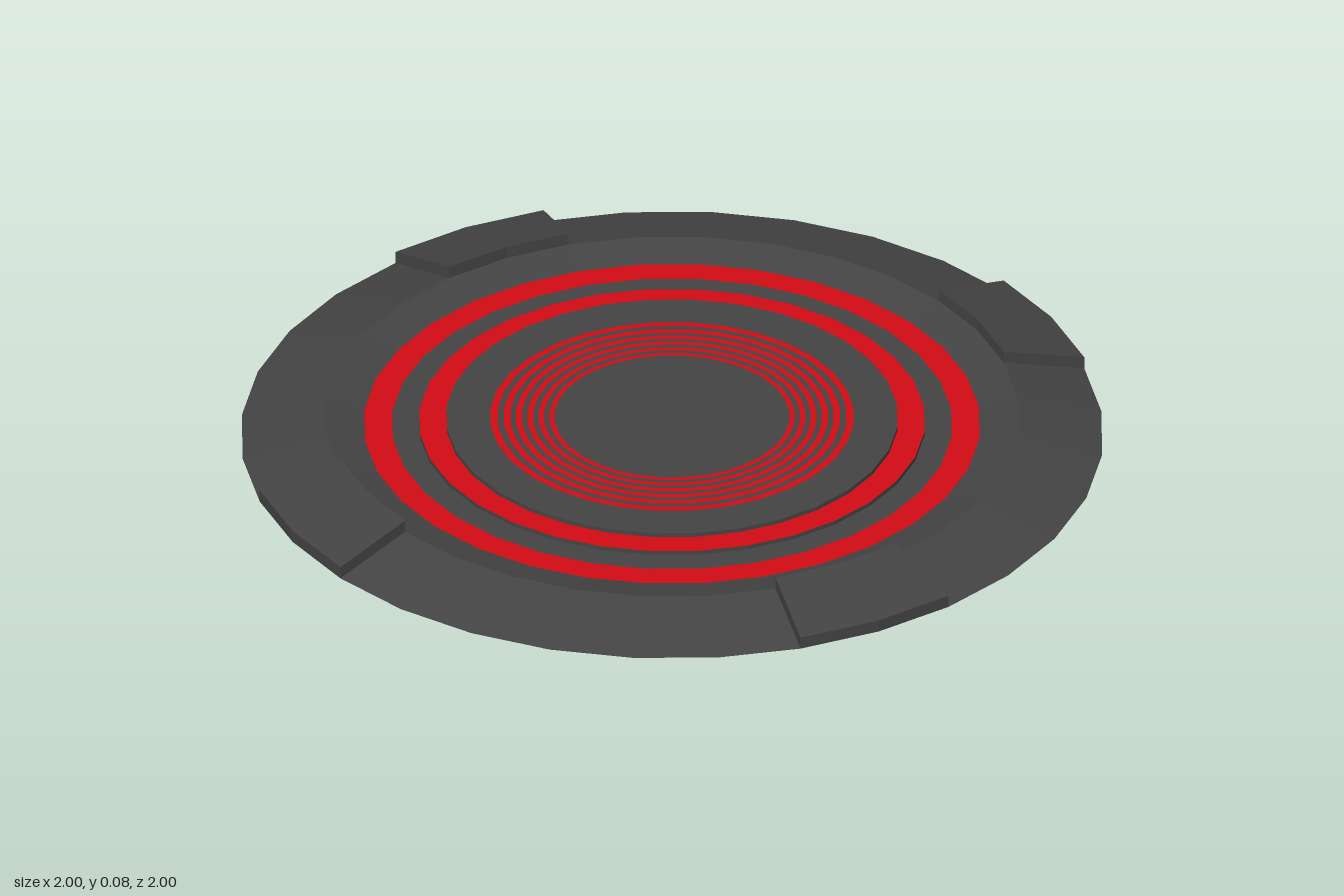
import * as THREE from 'three';

const SIDES = 32;
const STEP = (Math.PI * 2) / SIDES;
const DARK = new THREE.MeshStandardMaterial({ color: 0x444444, flatShading: true, side: THREE.DoubleSide });
const RED = new THREE.MeshStandardMaterial({ color: 0xd40c14, flatShading: true, side: THREE.DoubleSide });

// Turned strip through [radius, height] points, listed from the outside in
function band(name, points, material, startStep = 0, steps = SIDES) {
  const profile = points.map(([r, y]) => new THREE.Vector2(r, y));
  const geometry = new THREE.LatheGeometry(profile, steps, startStep * STEP, steps * STEP);
  const mesh = new THREE.Mesh(geometry, material);
  mesh.name = name;
  return mesh;
}

const RIDGE = 0.805;
const RIM_Y = 0.05;

// Raised wedge on the rim, two facets wide, open underneath
function createRimWedge() {
  const wedge = new THREE.Group();
  wedge.name = 'rimWedge';
  const profile = [[1, 0], [1, 0.03], [RIDGE, 0.08], [RIDGE, RIM_Y]];
  wedge.add(band('wedgeShell', profile, DARK, -1, 2));
  const shape = new THREE.Shape(profile.map(([r, y]) => new THREE.Vector2(r, y)));
  for (const side of [-1, 1]) {
    const cheek = new THREE.Mesh(new THREE.ShapeGeometry(shape), DARK);
    cheek.name = 'wedgeCheek';
    cheek.rotation.y = side * STEP - Math.PI / 2;
    wedge.add(cheek);
  }
  return wedge;
}

export function createModel() {
  const model = new THREE.Group();
  model.name = 'discPad';

  // Sloped rim panels with a wedge between each pair
  for (let i = 0; i < 4; i++) {
    model.add(band('rimPanel', [[1, 0], [RIDGE, RIM_Y]], DARK, i * 8 + 1, 6));
    const wedge = createRimWedge();
    wedge.rotation.y = (i * Math.PI) / 2;
    model.add(wedge);
  }

  // Trough inside the ridge, with its red ring
  model.add(band('innerSlope', [[RIDGE, RIM_Y], [0.715, 0.03]], DARK));
  model.add(band('outerRedRing', [[0.715, 0.03], [0.65, 0.03]], RED));
  model.add(band('troughFloor', [[0.65, 0.03], [0.587, 0.03], [0.587, 0.04]], DARK));

  // Stepped centre platform
  model.add(band('stepRedRing', [[0.587, 0.04], [0.524, 0.04]], RED));
  model.add(band('platformEdge', [[0.524, 0.04], [0.524, 0.05], [0.422, 0.05]], DARK));

  // Fine concentric red rings, narrowing towards the centre
  const radii = [0.422, 0.391, 0.363, 0.336, 0.31, 0.285];
  radii.forEach((outer, i) => {
    const inner = outer - 0.017 + i * 0.001;
    const next = i < radii.length - 1 ? radii[i + 1] : 0;
    model.add(band('fineRedRing', [[outer, 0.05], [inner, 0.05]], RED));
    model.add(band(next ? 'platformGap' : 'platformCentre', [[inner, 0.05], [next, 0.05]], DARK));
  });

  return model;
}
